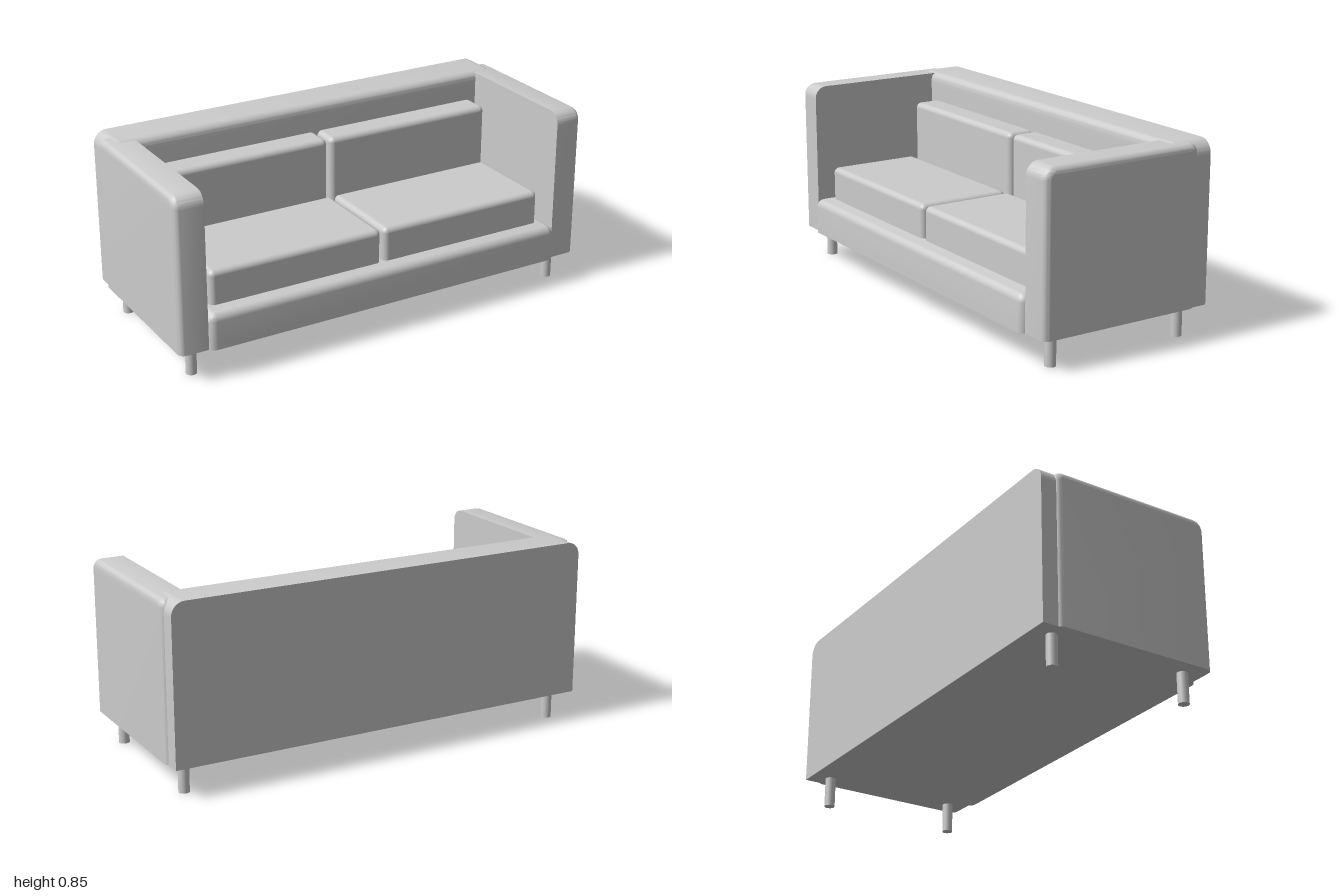
import * as THREE from 'three';
import { toCreasedNormals } from 'three/addons/utils/BufferGeometryUtils.js';
import { RoundedBoxGeometry } from 'three/addons/geometries/RoundedBoxGeometry.js';

const FLOOR = 0.138; // underside of the upholstery

// Upholstered panel: rounded top corners and a soft face on +z, flat back and underside.
function panel(x0, x1, top, r0, r1, depth, soft) {
  const low = FLOOR - soft;
  const s = new THREE.Shape();
  s.moveTo(x0, low);
  s.lineTo(x1, low);
  s.lineTo(x1, top - r1);
  s.absarc(x1 - r1, top - r1, r1, 0, Math.PI / 2, false);
  s.lineTo(x0 + r0, top);
  s.absarc(x0 + r0, top - r0, r0, Math.PI / 2, Math.PI, false);
  s.closePath();
  const g = new THREE.ExtrudeGeometry(s, {
    depth: depth - soft, curveSegments: 8, bevelEnabled: true, bevelSegments: 6,
    bevelThickness: soft, bevelSize: soft, bevelOffset: -soft,
  });
  // flatten the soft edge at the back and underneath
  const p = g.attributes.position;
  for (let i = 0; i < p.count; i++) {
    p.setY(i, Math.max(p.getY(i), FLOOR));
    p.setZ(i, Math.max(p.getZ(i), 0));
  }
  g.deleteAttribute('normal');
  g.deleteAttribute('uv');
  return toCreasedNormals(g, 0.6);
}

export function createModel() {
  const model = new THREE.Group();
  model.name = 'sofa';
  const mat = new THREE.MeshStandardMaterial({ color: 0xcccccc });
  const add = (name, geometry, x = 0, y = 0, z = 0) => {
    const m = new THREE.Mesh(geometry, mat);
    m.name = name;
    m.position.set(x, y, z);
    model.add(m);
    return m;
  };
  // cushion given by its bounds
  const cushion = (name, x0, x1, y0, y1, z0, z1) =>
    add(name, new RoundedBoxGeometry(x1 - x0, y1 - y0, z1 - z0, 5, 0.025),
      (x0 + x1) / 2, (y0 + y1) / 2, (z0 + z1) / 2);

  // backrest and seat base
  add('backrest', panel(-0.99, 0.99, 0.845, 0.06, 0.06, 0.19, 0.035), 0, 0, -0.425);
  add('seatBase', panel(-0.873, 0.873, 0.302, 0.04, 0.04, 0.825, 0.035), 0, 0, -0.4);

  // arms, soft on the outside
  add('leftArm', panel(-0.405, 0.36, 0.84, 0.055, 0.04, 0.13, 0.03), 0.87).rotation.y = Math.PI / 2;
  add('rightArm', panel(-0.36, 0.405, 0.84, 0.04, 0.055, 0.13, 0.03), -0.87).rotation.y = -Math.PI / 2;

  // loose cushions
  cushion('rightSeatCushion', -0.828, -0.007, 0.27, 0.455, -0.095, 0.347);
  cushion('leftSeatCushion', 0.007, 0.824, 0.27, 0.455, -0.095, 0.347);
  cushion('rightBackCushion', -0.828, -0.007, 0.27, 0.717, -0.25, -0.113);
  cushion('leftBackCushion', 0.007, 0.842, 0.27, 0.717, -0.25, -0.113);

  // legs
  const leg = new THREE.CylinderGeometry(0.024, 0.024, 0.15, 24);
  for (const [side, x] of [['left', 0.917], ['right', -0.913]]) {
    add(side + 'FrontLeg', leg, x, 0.075, 0.315);
    add(side + 'BackLeg', leg, x, 0.075, -0.332);
  }
  return model;
}
